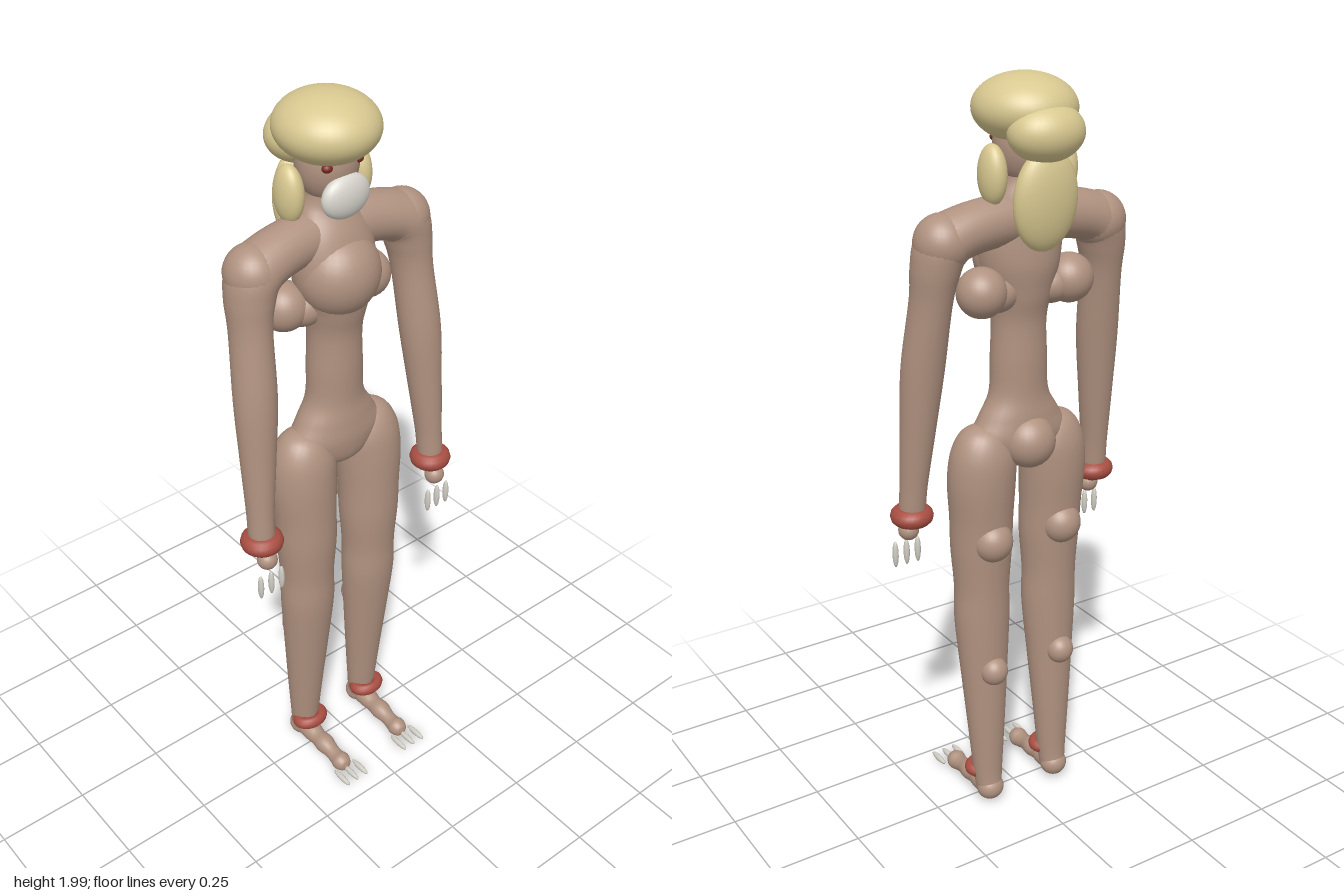
import * as THREE from 'three';

const material = (name, color) => Object.assign(new THREE.MeshStandardMaterial({ color }), { name });
const skin = material('skin', 0xb09280);
const hair = material('hair', 0xd8c890);
const white = material('beard white', 0xd9d6ce);
const claw = material('claw', 0xcfccc2);
const red = material('red band', 0xa84e42);
const eye = material('dark red eye', 0x7a2c22);

// Smooth loft through stations [x, y, z, radius across, radius along ref]
function loft(stations, ref, steps = 6, sides = 28) {
  const path = new THREE.CatmullRomCurve3(stations.map(s => new THREE.Vector3(s[0], s[1], s[2])), false, 'catmullrom');
  const radii = new THREE.CatmullRomCurve3(stations.map(s => new THREE.Vector3(s[3], s[4] ?? s[3], 0)), false, 'catmullrom');
  const rows = (stations.length - 1) * steps;
  const pos = [], index = [];
  for (let i = 0; i <= rows; i++) {
    const c = path.getPoint(i / rows), r = radii.getPoint(i / rows), t = path.getTangent(i / rows);
    const u = new THREE.Vector3().crossVectors(ref, t).normalize();
    const w = new THREE.Vector3().crossVectors(t, u);
    for (let j = 0; j < sides; j++) {
      const a = j / sides * Math.PI * 2;
      const p = c.clone().addScaledVector(u, Math.cos(a) * r.x).addScaledVector(w, Math.sin(a) * r.y);
      pos.push(p.x, p.y, p.z);
      if (i < rows) {
        const k = i * sides + j, n = i * sides + (j + 1) % sides;
        index.push(k, n, k + sides, n, n + sides, k + sides);
      }
    }
  }
  const g = new THREE.BufferGeometry();
  g.setAttribute('position', new THREE.Float32BufferAttribute(pos, 3));
  g.setIndex(index);
  g.computeVertexNormals();
  return g;
}

const X = new THREE.Vector3(1, 0, 0), Z = new THREE.Vector3(0, 0, 1);

export function createModel() {
  const model = new THREE.Group();
  model.name = 'figure';

  const add = (parent, name, geometry, mat) => {
    const m = new THREE.Mesh(geometry, mat);
    m.name = name;
    parent.add(m);
    return m;
  };
  const blob = (parent, name, mat, [x, y, z], [rx, ry, rz], detail = 28) => {
    const m = add(parent, name, new THREE.SphereGeometry(1, detail, Math.ceil(detail * 0.7)), mat);
    m.position.set(x, y, z);
    m.scale.set(rx, ry, rz);
    return m;
  };
  const band = (parent, name, [x, y, z], ring, tube, depth) => {
    const m = add(parent, name, new THREE.TorusGeometry(ring, tube, 12, 28).rotateX(Math.PI / 2), red);
    m.position.set(x, y, z);
    m.scale.z = depth;
    return m;
  };

  // Torso: neck, chest, narrow waist and wide pelvis
  add(model, 'torso', loft([
    [0, 1.84, -0.05, 0.05, 0.05], [0, 1.76, -0.05, 0.055, 0.05], [0, 1.71, -0.05, 0.08, 0.055],
    [0, 1.64, -0.035, 0.11, 0.075], [0, 1.55, -0.025, 0.108, 0.09], [0, 1.47, -0.025, 0.085, 0.08],
    [0, 1.40, -0.025, 0.072, 0.066], [0, 1.30, -0.025, 0.075, 0.066], [0, 1.21, -0.025, 0.08, 0.065],
    [0, 1.15, -0.025, 0.112, 0.072], [0, 1.09, -0.025, 0.14, 0.075], [0, 1.03, -0.025, 0.08, 0.06],
    [0, 1.0, -0.025, 0.005, 0.005],
  ], Z), skin);
  blob(model, 'chest', skin, [0, 1.56, -0.01], [0.108, 0.108, 0.1]);
  blob(model, 'tailbone', skin, [0, 1.085, -0.075], [0.07, 0.07, 0.065]);

  // Head, cap of hair, bun and long back lock
  blob(model, 'head', skin, [0, 1.835, -0.05], [0.078, 0.1, 0.075]);
  blob(model, 'beard', white, [0, 1.768, 0.018], [0.068, 0.055, 0.03]);
  blob(model, 'hairCap', hair, [0, 1.918, -0.05], [0.126, 0.082, 0.131], 40);
  blob(model, 'hairBun', hair, [0, 1.872, -0.14], [0.098, 0.07, 0.078], 32);
  blob(model, 'backLock', hair, [0, 1.715, -0.14], [0.088, 0.125, 0.042], 32).rotation.x = -0.06;

  for (const s of [1, -1]) {
    const side = s > 0 ? 'left' : 'right';
    blob(model, side + 'Eye', eye, [s * 0.045, 1.845, 0.008], [0.014, 0.011, 0.012], 14);
    blob(model, side + 'Lock', hair, [s * 0.1, 1.772, -0.065], [0.032, 0.073, 0.045]);
    blob(model, side + 'BackMuscle', skin, [s * 0.128, 1.49, -0.058], [0.063, 0.063, 0.062]);
    blob(model, side + 'BackMuscleRoot', skin, [s * 0.08, 1.48, -0.045], [0.06, 0.05, 0.055]);

    // Arm: shoulder bar bending down to the wrist
    const arm = new THREE.Group();
    arm.name = side + 'Arm';
    model.add(arm);
    add(arm, 'limb', loft([
      [0, 1.66, -0.05, 0.06, 0.06], [s * 0.1, 1.655, -0.048, 0.063, 0.063], [s * 0.18, 1.64, -0.044, 0.063, 0.068],
      [s * 0.225, 1.615, -0.04, 0.066, 0.07], [s * 0.242, 1.56, -0.035, 0.06, 0.064], [s * 0.25, 1.48, -0.025, 0.052, 0.056],
      [s * 0.262, 1.31, 0, 0.055, 0.053], [s * 0.272, 1.15, 0.015, 0.046, 0.045],
      [s * 0.281, 1.0, 0.028, 0.036, 0.037], [s * 0.285, 0.9, 0.036, 0.031, 0.031], [s * 0.285, 0.885, 0.038, 0.003],
    ], Z), skin);
    blob(arm, 'shoulder', skin, [s * 0.225, 1.622, -0.042], [0.071, 0.072, 0.071]);
    band(arm, 'bracelet', [s * 0.285, 0.905, 0.036], 0.032, 0.024, 1);
    blob(arm, 'hand', skin, [s * 0.285, 0.855, 0.056], [0.027, 0.027, 0.027], 20);
    blob(arm, 'wrist', skin, [s * 0.285, 0.88, 0.045], [0.018, 0.025, 0.018], 16);
    for (const i of [-1, 0, 1])
      blob(arm, 'fingerClaw', claw, [s * 0.285 + i * 0.033, 0.787, 0.07], [0.008, 0.037, 0.009], 12);

    // Leg: full thigh tapering to the ankle
    const leg = new THREE.Group();
    leg.name = side + 'Leg';
    model.add(leg);
    add(leg, 'limb', loft([
      [s * 0.085, 1.135, -0.025, 0.005], [s * 0.09, 1.115, -0.025, 0.055, 0.05], [s * 0.102, 1.065, -0.023, 0.085, 0.076],
      [s * 0.109, 0.99, -0.02, 0.091, 0.083], [s * 0.108, 0.88, -0.015, 0.085, 0.08], [s * 0.107, 0.79, -0.012, 0.083, 0.077],
      [s * 0.107, 0.68, -0.012, 0.075, 0.07], [s * 0.107, 0.58, -0.012, 0.076, 0.068],
      [s * 0.107, 0.42, -0.02, 0.065, 0.058], [s * 0.107, 0.25, -0.029, 0.052, 0.047],
      [s * 0.107, 0.11, -0.035, 0.041, 0.038], [s * 0.107, 0.06, -0.04, 0.036],
    ], Z), skin);
    blob(leg, 'hamstring', skin, [s * 0.107, 0.825, -0.068], [0.054, 0.055, 0.052]);
    blob(leg, 'calf', skin, [s * 0.107, 0.44, -0.07], [0.038, 0.04, 0.038]);
    band(leg, 'anklet', [s * 0.107, 0.105, -0.01], 0.036, 0.018, 0.8).rotation.x = -0.08;

    // Foot: heel, knobbly sole and three claws
    blob(leg, 'heel', skin, [s * 0.107, 0.055, -0.047], [0.038, 0.036, 0.036]);
    add(leg, 'foot', loft([
      [s * 0.107, 0.055, -0.05, 0.03], [s * 0.107, 0.05, 0.0, 0.029], [s * 0.107, 0.047, 0.03, 0.025],
      [s * 0.107, 0.046, 0.06, 0.028], [s * 0.107, 0.041, 0.092, 0.022], [s * 0.107, 0.037, 0.115, 0.023],
      [s * 0.107, 0.036, 0.136, 0.027], [s * 0.107, 0.035, 0.156, 0.018], [s * 0.107, 0.035, 0.163, 0.002],
    ], X), skin);
    for (const i of [-1, 0, 1])
      blob(leg, 'toeClaw', claw, [s * 0.107 + i * 0.033, 0.028, 0.181], [0.008, 0.009, 0.035], 12);
  }
  return model;
}
